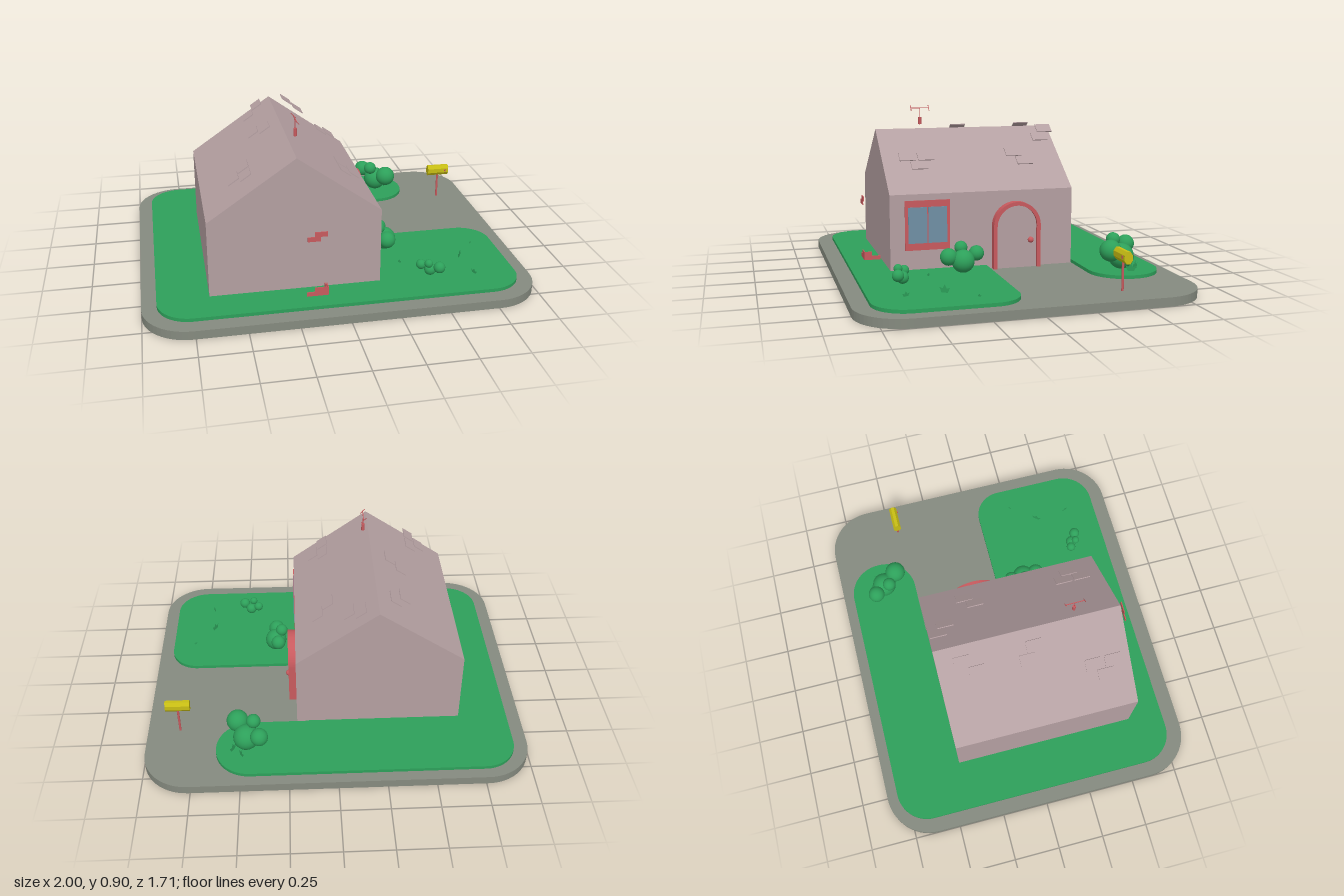
import * as THREE from 'three';

const mat = (name, color, side = THREE.FrontSide) => {
  const m = new THREE.MeshStandardMaterial({ color, side });
  m.name = name;
  return m;
};

export function createModel() {
  const model = new THREE.Group();
  model.name = 'cottage';
  const stone = mat('paving grey', 0x858a7f);
  const green = mat('garden green', 0x2da05a);
  const leafGreen = mat('leaf green', 0x2da05a, THREE.DoubleSide);
  const pink = mat('dusty pink', 0xb49fa1);
  const red = mat('trim red', 0xc85a5e);
  const glass = mat('window blue', 0x7090a5);
  const yellow = mat('letterbox yellow', 0xc8be14);

  const add = (name, geometry, material, x = 0, y = 0, z = 0) => {
    const mesh = new THREE.Mesh(geometry, material);
    mesh.name = name;
    mesh.position.set(x, y, z);
    model.add(mesh);
    return mesh;
  };
  // Box given by its lower and upper corners
  const box = (name, material, [x0, y0, z0], [x1, y1, z1]) =>
    add(name, new THREE.BoxGeometry(x1 - x0, y1 - y0, z1 - z0), material,
      (x0 + x1) / 2, (y0 + y1) / 2, (z0 + z1) / 2);
  // Upright ball
  const ball = (name, material, x, y, z, r) =>
    add(name, new THREE.SphereGeometry(r, 24, 16), material, x, y, z);
  // Flat slab from a plan outline; each corner is [x, z, radius]
  const slab = (name, material, corners, y0, y1) => {
    const shape = new THREE.Shape();
    corners.forEach(([x, z, r], i) => {
      const p = new THREE.Vector2(x, -z);
      const toward = (c) => new THREE.Vector2(c[0], -c[1]).sub(p).setLength(r).add(p);
      const a = toward(corners[(i + corners.length - 1) % corners.length]);
      const b = toward(corners[(i + 1) % corners.length]);
      if (i === 0) shape.moveTo(a.x, a.y);
      else shape.lineTo(a.x, a.y);
      if (r > 0) {
        const k = 0.55;
        const c1 = a.clone().lerp(p, k), c2 = b.clone().lerp(p, k);
        shape.bezierCurveTo(c1.x, c1.y, c2.x, c2.y, b.x, b.y);
      }
    });
    shape.closePath();
    const geometry = new THREE.ExtrudeGeometry(shape, { depth: y1 - y0, bevelEnabled: false, curveSegments: 14 });
    geometry.rotateX(-Math.PI / 2);
    return add(name, geometry, material, 0, y0, 0);
  };

  // Paved base and the lawn wrapping round the house
  slab('base', stone, [[-1, 0.85, 0.24], [1, 0.85, 0.24], [1, -0.855, 0.24], [-1, -0.855, 0.24]], 0, 0.045);
  slab('lawn', green, [
    [-0.925, 0.765, 0.17], [0.925, 0.765, 0.17], [0.925, 0.057, 0.15], [0.15, 0.057, 0],
    [0.15, -0.425, 0], [0.63, -0.425, 0.18], [0.63, -0.797, 0.18], [-0.925, -0.797, 0.17],
  ], 0.045, 0.063);

  // House body with gable ends
  const gable = new THREE.Shape([[-0.665, 0.045], [0.205, 0.045], [0.205, 0.46], [-0.22, 0.765], [-0.665, 0.46]]
    .map(([x, y]) => new THREE.Vector2(x, y)));
  add('house', new THREE.ExtrudeGeometry(gable, { depth: 0.995, bevelEnabled: false }), pink, 0, 0, -0.422);

  // Loose roof tiles hovering parallel to each slope: [x, z] centres
  const tiles = [
    [-0.31, -0.29], [-0.365, -0.222], [-0.37, 0.043], [-0.315, 0.088], [-0.46, 0.368], [-0.515, 0.425], [-0.46, 0.472],
    [-0.127, -0.372], [-0.07, -0.327], [0.085, -0.19], [0.03, -0.142], [0.04, 0.348], [0.095, 0.392], [0.04, 0.447],
  ];
  for (const [x, z] of tiles) {
    const slope = x < -0.22 ? 0.685 : -0.718;
    const y = 0.765 - Math.abs(x + 0.22) * Math.abs(slope) + 0.059;
    add('roofTile', new THREE.BoxGeometry(0.063, 0.005, 0.087), pink, x, y, z).rotation.z = Math.atan(slope);
  }

  // Window with two panes on the +x wall
  box('windowFrame', red, [0.2, 0.165, 0.257], [0.209, 0.427, 0.495]);
  for (const z of [0.272, 0.378]) box('windowPane', glass, [0.205, 0.202, z], [0.212, 0.392, z + 0.1]);

  // Arched door: shapes drawn facing +z, then turned to face +x
  const arch = (path, r) => {
    path.moveTo(-r, 0.045);
    path.lineTo(r, 0.045);
    path.lineTo(r, 0.272);
    path.absarc(0, 0.272, r, 0, Math.PI, false);
    path.lineTo(-r, 0.045);
    return path;
  };
  const surround = arch(new THREE.Shape(), 0.13);
  surround.holes.push(arch(new THREE.Path(), 0.11));
  const doorPart = (name, shape, depth, material) => {
    const geometry = new THREE.ExtrudeGeometry(shape, { depth, bevelEnabled: false, curveSegments: 20 });
    geometry.rotateY(Math.PI / 2);
    add(name, geometry, material, 0.2, 0, -0.103);
  };
  doorPart('doorSurround', surround, 0.046, red);
  doorPart('door', arch(new THREE.Shape(), 0.111), 0.03, pink);
  ball('doorKnob', red, 0.245, 0.195, -0.177, 0.016);

  // Exposed bricks standing just ahead of the front wall
  box('wallBrick', red, [-0.185, 0.363, 0.662], [-0.12, 0.387, 0.667]);
  box('wallBrick', red, [-0.15, 0.387, 0.662], [-0.085, 0.412, 0.667]);
  box('cornerBrickFront', red, [-0.19, 0.063, 0.662], [-0.08, 0.085, 0.667]);
  box('cornerBrickFront', red, [-0.15, 0.085, 0.662], [-0.08, 0.108, 0.667]);
  box('cornerBrickSide', red, [-0.085, 0.063, 0.58], [-0.08, 0.085, 0.662]);
  box('cornerBrickSide', red, [-0.085, 0.085, 0.625], [-0.08, 0.108, 0.662]);

  // Aerial above the roof: foot, thin mast, cross bar and slanted end rods
  add('aerialFoot', new THREE.CylinderGeometry(0.009, 0.009, 0.04, 12), red, -0.187, 0.81, 0.33);
  add('aerialMast', new THREE.CylinderGeometry(0.002, 0.002, 0.05, 6), red, -0.187, 0.855, 0.33);
  box('aerialBar', red, [-0.189, 0.878, 0.278], [-0.185, 0.882, 0.382]);
  for (const z of [0.28, 0.38]) {
    add('aerialRod', new THREE.CylinderGeometry(0.002, 0.002, 0.038, 6), red, -0.187, 0.88, z).rotation.z = 0.75;
  }

  // Letterbox on a post
  add('letterboxPost', new THREE.CylinderGeometry(0.006, 0.006, 0.15, 12), red, 0.83, 0.12, -0.447);
  const barrel = new THREE.CylinderGeometry(0.032, 0.032, 0.128, 8).toNonIndexed();
  barrel.rotateY(Math.PI / 8).rotateZ(Math.PI / 2).scale(1, 1.02, 0.72);
  barrel.computeVertexNormals();
  add('letterbox', barrel, yellow, 0.829, 0.22, -0.447);
  box('letterboxFlag', red, [0.868, 0.215, -0.428], [0.876, 0.229, -0.421]);

  // Bushes made of clustered balls: [x, y, z, radius]
  const bushes = {
    doorBush: [[0.315, 0.145, 0.29, 0.045], [0.32, 0.12, 0.215, 0.06], [0.305, 0.155, 0.14, 0.04], [0.285, 0.185, 0.218, 0.034]],
    backBush: [[0.47, 0.13, -0.6, 0.067], [0.515, 0.172, -0.52, 0.057], [0.4, 0.18, -0.655, 0.046], [0.43, 0.212, -0.57, 0.037]],
    smallBush: [[0.43, 0.12, 0.545, 0.026], [0.475, 0.095, 0.56, 0.031], [0.46, 0.138, 0.58, 0.022], [0.515, 0.115, 0.59, 0.03]],
  };
  for (const [name, balls] of Object.entries(bushes)) {
    for (const b of balls) ball(name, green, ...b);
  }

  // Flat grass tufts: [x, z, width, height, turn]
  const blades = new THREE.Shape([[-0.3, 0], [0.3, 0], [0.5, 0.65], [0.2, 0.5], [0, 1], [-0.2, 0.5], [-0.5, 0.65]]
    .map(([x, y]) => new THREE.Vector2(x, y)));
  const tufts = [
    [0.69, 0.4, 0.054, 0.042, 0.95], [0.705, 0.588, 0.042, 0.025, -1.15], [0.8, 0.26, 0.022, 0.015, 0.6],
    [0.355, 0.405, 0.022, 0.02, -0.9], [0.495, -0.67, 0.045, 0.045, -1.0], [0.54, -0.625, 0.055, 0.045, 1.0],
  ];
  for (const [x, z, width, height, turn] of tufts) {
    const geometry = new THREE.ShapeGeometry(blades);
    geometry.scale(width, height, 1);
    add('grassTuft', geometry, leafGreen, x, 0.062, z).rotation.y = turn;
  }

  return model;
}
